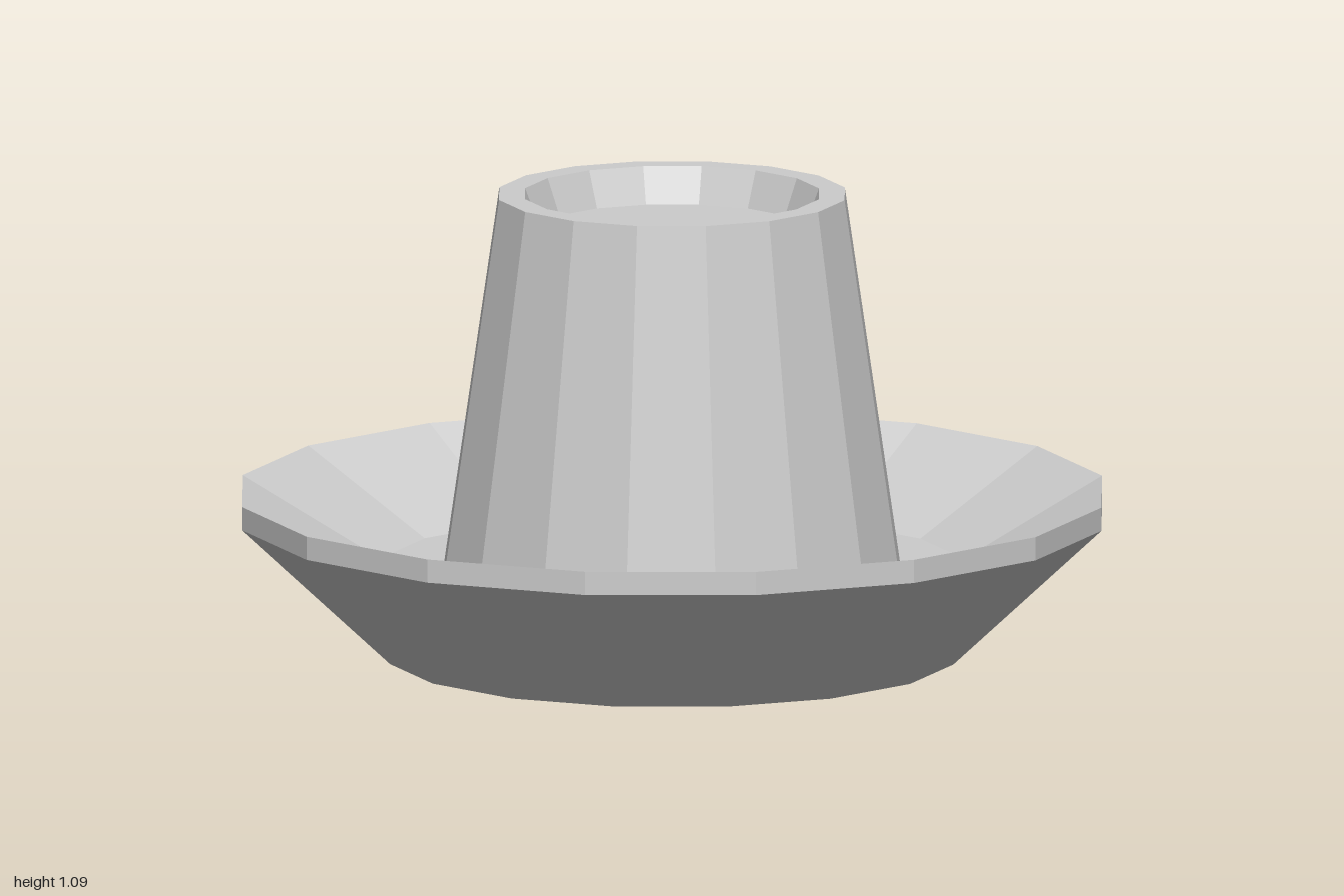
import * as THREE from 'three';

const SIDES = 16;
// Radius from the flat sides to the corners
const CORNER = 1 / Math.cos(Math.PI / SIDES);

// Faceted solid of revolution from [distance to x face, height] pairs, bottom centre first
function faceted(name, profile, material) {
  const points = profile.map(([x, y]) => new THREE.Vector2(x * CORNER, y));
  const geometry = new THREE.LatheGeometry(points, SIDES, Math.PI / SIDES).toNonIndexed();
  geometry.computeVertexNormals();
  const mesh = new THREE.Mesh(geometry, material);
  mesh.name = name;
  return mesh;
}

export function createModel() {
  const group = new THREE.Group();
  group.name = 'dishWithPedestal';

  const grey = new THREE.MeshStandardMaterial({ color: 0xcccccc, flatShading: true });
  grey.name = 'light grey';

  // Dish: flat foot, flared side, thin vertical rim, sloping inside and raised floor
  group.add(faceted('dish', [
    [0, 0], [0.655, 0], [1, 0.33], [1, 0.385], [0.68, 0.2], [0, 0.2],
  ], grey));

  // Pedestal: tapered tower with a flat lip and a shallow recess on top
  group.add(faceted('pedestal', [
    [0.53, 0.2], [0.402, 1.09], [0.342, 1.09], [0.31, 1.005], [0, 1.005],
  ], grey));

  return group;
}
